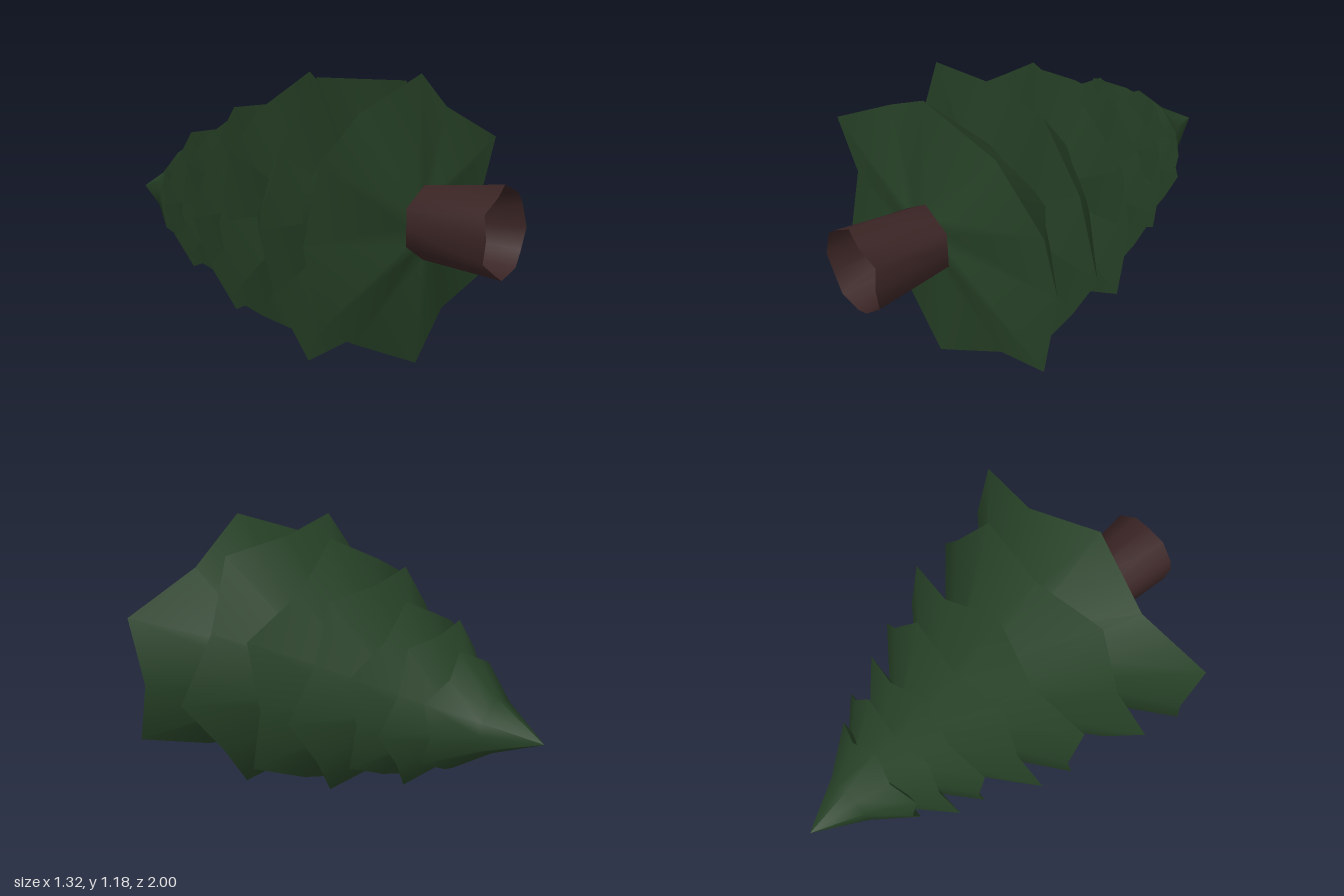
import * as THREE from 'three';

const SIDES = 12; // six tips with a raised notch between each pair

// One ring around the z axis: tips at radius r, notches at r * notch
function ring(r, zTip, zNotch, { rot = 0, notch = 0.866, stretch = 1 } = {}) {
  return Array.from({ length: SIDES }, (_, i) => {
    const a = THREE.MathUtils.degToRad(rot + i * 30);
    const k = i % 2 ? r * notch : r;
    return [Math.cos(a) * k * stretch, Math.sin(a) * k, i % 2 ? zNotch : zTip];
  });
}

// Smooth skin over successive rings
function loft(rings) {
  const index = [];
  for (let i = 0; i < rings.length - 1; i++) {
    for (let j = 0; j < SIDES; j++) {
      const a = i * SIDES + j, b = i * SIDES + (j + 1) % SIDES;
      const c = a + SIDES, d = b + SIDES;
      index.push(a, c, b, b, c, d);
    }
  }
  const g = new THREE.BufferGeometry();
  g.setAttribute('position', new THREE.Float32BufferAttribute(rings.flat(2), 3));
  g.setIndex(index);
  g.computeVertexNormals();
  return g;
}

export function createModel() {
  const model = new THREE.Group();
  model.name = 'pineTree';
  const tree = new THREE.Group();
  tree.name = 'lyingTree';
  tree.position.y = 0.59;
  model.add(tree);

  const needles = new THREE.MeshStandardMaterial({ color: 0x264026, side: THREE.DoubleSide });
  needles.name = 'needleGreen';
  const bark = new THREE.MeshStandardMaterial({ color: 0x3a2424, side: THREE.DoubleSide });
  bark.name = 'barkBrown';

  const add = (name, rings, material, parent) => {
    const mesh = new THREE.Mesh(loft(rings), material);
    mesh.name = name;
    parent.add(mesh);
  };

  // Branch tiers, widest first; upper = [radius, z] of the rings above the rim
  const tiers = [
    { r: 0.59, tip: 0.615, notch: 0.545, rot: 30, stretch: 1.29, upper: [[0.22, 0.22]], hole: 0.15, base: 0.64 },
    { r: 0.65, tip: 0.33, notch: 0.283, rot: -2.5, upper: [[0.22, -0.05]] },
    { r: 0.59, tip: 0.062, notch: 0.005, rot: 30, upper: [[0.2, -0.25]] },
    { r: 0.51, tip: -0.145, notch: -0.18, rot: 0, upper: [[0.16, -0.42]] },
    { r: 0.41, tip: -0.335, notch: -0.368, rot: 30, upper: [[0.17, -0.54]] },
    { r: 0.36, tip: -0.48, notch: -0.505, rot: 0, upper: [[0.17, -0.655]] },
    { r: 0.27, tip: -0.6, notch: -0.635, rot: 30, upper: [[0.125, -0.78], [0, -1]] },
  ];
  tiers.forEach((t, i) => {
    const tier = new THREE.Group();
    tier.name = `branchTier${i + 1}`;
    tree.add(tier);
    const shape = { rot: t.rot, stretch: t.stretch ?? 1 };
    const rim = ring(t.r, t.tip, t.notch, shape);
    add('branches', [rim, ...t.upper.map(([r, z]) => ring(r, z, z, shape))], needles, tier);
    const base = t.base ?? t.tip;
    const inner = ring(t.hole ?? 0, base, base, { rot: t.rot });
    add('underside', [inner, rim], needles, tier);
  });

  // Hollow tapered trunk with a slightly wavy foot
  add('trunk', [
    ring(0.185, 0.985, 1, { rot: 30, notch: 0.92 }),
    ring(0.15, 0.62, 0.62, { rot: 30 }),
  ], bark, tree);

  return model;
}
